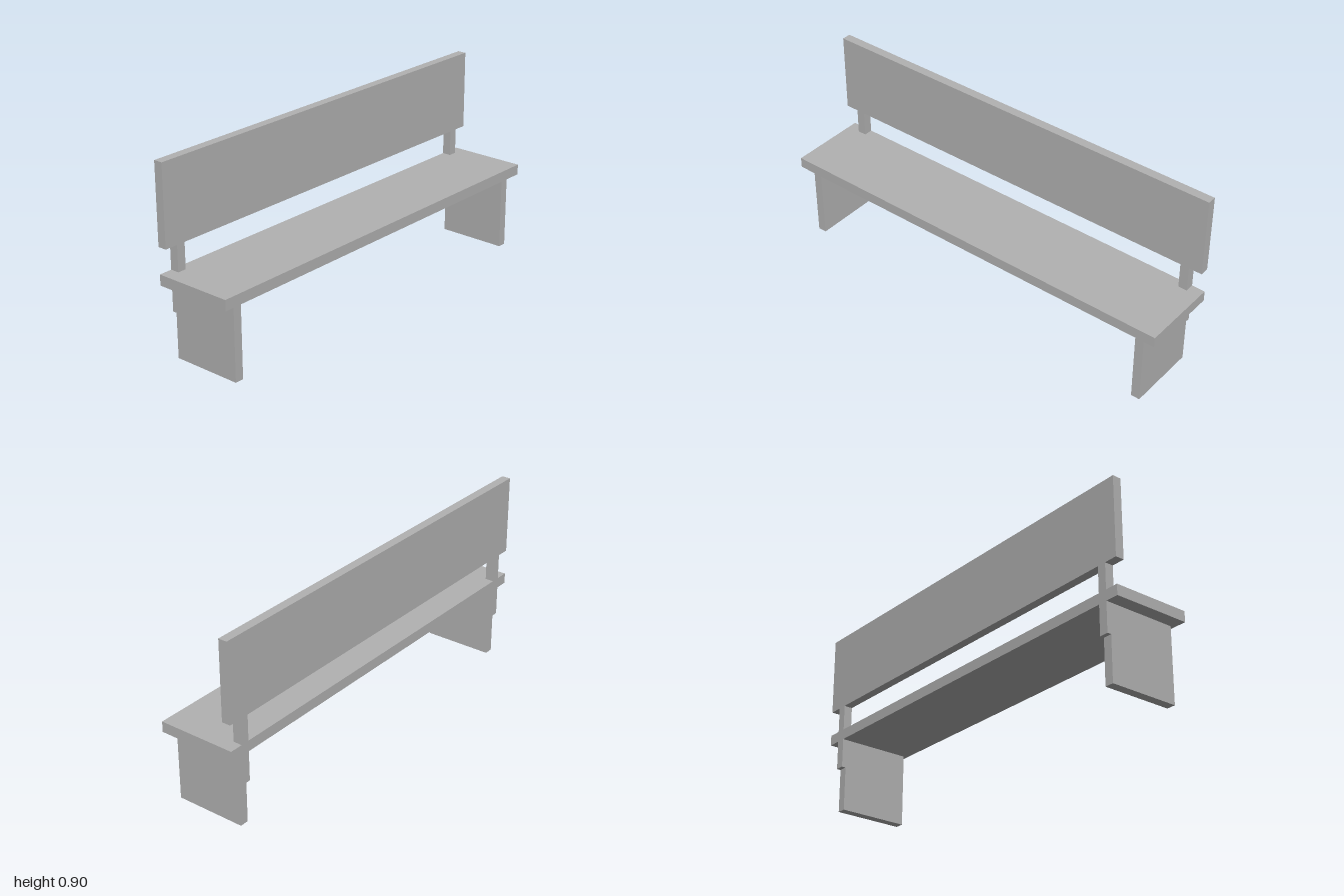
import * as THREE from 'three';

export function createModel() {
  const bench = new THREE.Group();
  bench.name = 'bench';
  const grey = new THREE.MeshStandardMaterial({ color: 0xb2b2b2 });
  grey.name = 'plain grey';

  const add = (name, geometry, x, y, z) => {
    const mesh = new THREE.Mesh(geometry, grey);
    mesh.name = name;
    mesh.position.set(x, y, z);
    bench.add(mesh);
  };
  // Box given by its bottom, top, back and front, centred on x
  const addBox = (name, x, width, y0, y1, z0, z1) =>
    add(name, new THREE.BoxGeometry(width, y1 - y0, z1 - z0), x, (y0 + y1) / 2, (z0 + z1) / 2);

  const back = -0.187, postFront = -0.145, seatBottom = 0.35, seatTop = 0.4, backBottom = 0.522;
  const thickness = 0.042;

  // Seat plank and backrest board
  addBox('seat', 0, 2, seatBottom, seatTop, back, 0.187);
  addBox('backrest', 0, 2, backBottom, 0.897, back, postFront);

  // Slab leg profile (z, y), stepped where the back post runs down behind it
  const profile = new THREE.Shape([
    [0.168, 0], [0.168, seatBottom], [back, seatBottom], [back, 0.21], [-0.167, 0.21], [-0.167, 0],
  ].map(([z, y]) => new THREE.Vector2(z, y)));
  const legGeometry = new THREE.ExtrudeGeometry(profile, { depth: thickness, bevelEnabled: false });
  legGeometry.translate(0, 0, -thickness / 2).rotateY(-Math.PI / 2);

  // Leg and backrest post at each end
  for (const [side, sign] of [['left', 1], ['right', -1]]) {
    const x = sign * 0.916;
    add(side + 'Leg', legGeometry, x, 0, 0);
    addBox(side + 'Post', x, thickness, seatTop, backBottom, back, postFront);
  }
  return bench;
}
